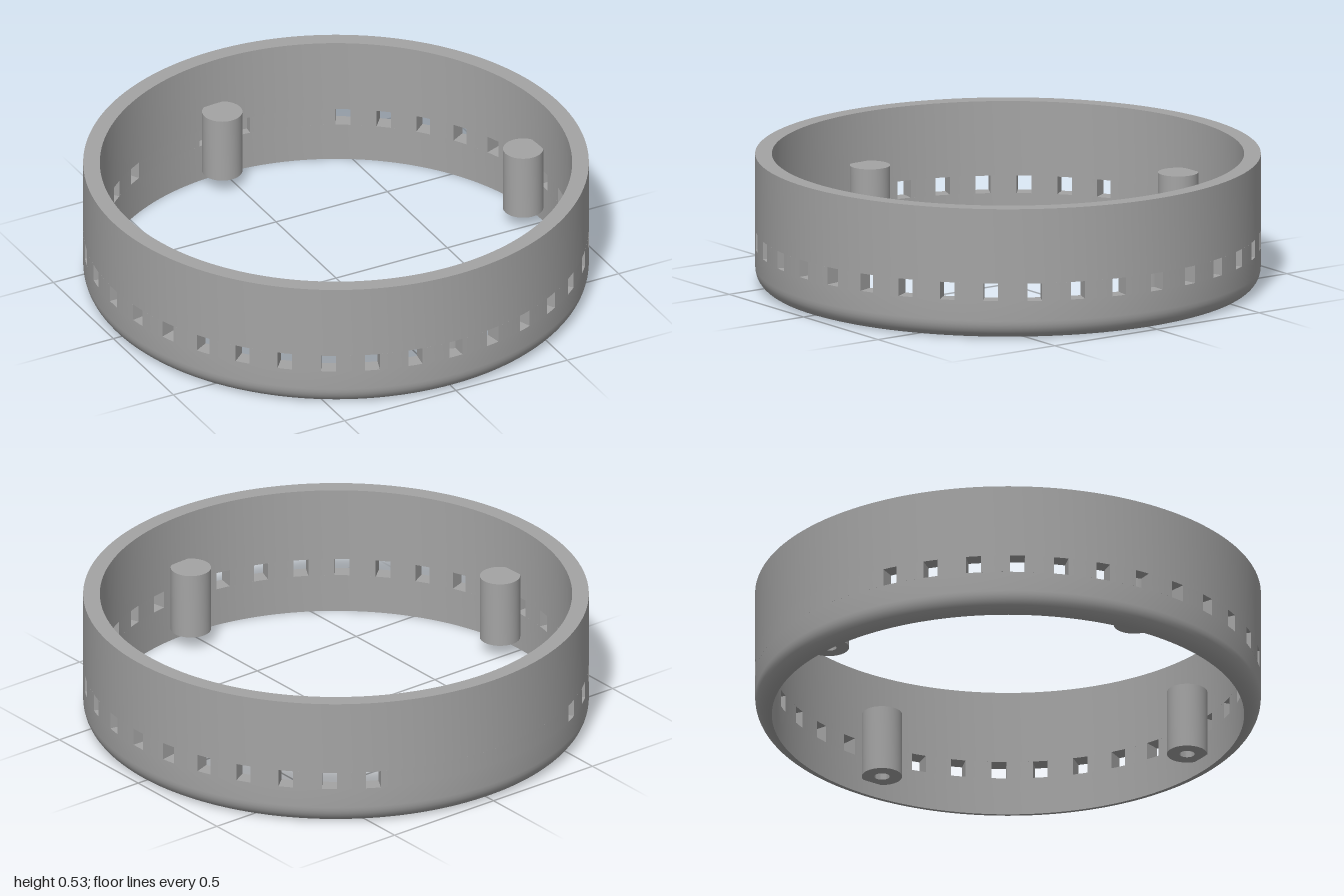
import * as THREE from 'three';
import { toCreasedNormals } from 'three/addons/utils/BufferGeometryUtils.js';

const OUTER = 1, INNER = 0.934, HEIGHT = 0.53;
const SILL = 0.157, LINTEL = 0.228, HALF_WINDOW = 0.0295;
const rad = THREE.MathUtils.degToRad;

export function createModel() {
  const group = new THREE.Group();
  const grey = new THREE.MeshStandardMaterial({ color: 0xa4a4a4 });
  grey.name = 'plain grey';

  const add = (name, geometry, parent = group) => {
    const mesh = new THREE.Mesh(toCreasedNormals(geometry, rad(30)), grey);
    mesh.name = name;
    parent.add(mesh);
    return mesh;
  };
  const lathe = (points, segments) =>
    new THREE.LatheGeometry(points.map(([r, y]) => new THREE.Vector2(r, y)), segments);

  // Lower wall with a rounded outer bottom edge
  const lower = [[INNER, 0]];
  for (let i = 1; i <= 8; i++) {
    const a = (i / 8) * Math.PI / 2;
    lower.push([INNER + (OUTER - INNER) * Math.sin(a), 0.075 * (1 - Math.cos(a))]);
  }
  lower.push([OUTER, SILL], [INNER, SILL], [INNER, 0]);
  add('lowerWall', lathe(lower, 180));

  // Upper wall
  add('upperWall', lathe([[INNER, LINTEL], [OUTER, LINTEL], [OUTER, HEIGHT],
    [INNER, HEIGHT], [INNER, LINTEL]], 180));

  // Wall pieces between the windows; a0 and a1 are degrees from +x towards -z
  const band = new THREE.Group();
  band.name = 'windowBand';
  group.add(band);
  const piece = (a0, a1, inset0, inset1, inner = INNER) => {
    const start = r => rad(a0) + Math.asin(inset0 / r);
    const end = r => rad(a1) - Math.asin(inset1 / r);
    const shape = new THREE.Shape();
    shape.absarc(0, 0, OUTER, start(OUTER), end(OUTER), false);
    shape.absarc(0, 0, inner, end(inner), start(inner), true);
    shape.closePath();
    const geometry = new THREE.ExtrudeGeometry(shape, {
      depth: LINTEL - SILL, bevelEnabled: false,
      curveSegments: Math.max(4, Math.ceil((a1 - a0) / 2)),
    });
    geometry.rotateX(-Math.PI / 2).translate(0, SILL, 0);
    add('wallPiece', geometry, band);
  };
  for (let a = 120; a < 420; a += 10) piece(a, a + 10, HALF_WINDOW, HALF_WINDOW);

  // Closed stretch at the back, with a shallow pocket on the inside
  piece(60, 83, HALF_WINDOW, 0);
  piece(83, 97, 0, 0, 0.97);
  piece(97, 120, 0, HALF_WINDOW);

  // Four screw posts with blind holes underneath
  const post = lathe([[0, 0.26], [0.03, 0.26], [0.03, 0.06], [0.08, 0.06],
    [0.08, 0.33], [0, 0.33]], 40);
  for (let i = 0; i < 4; i++) {
    const a = i * Math.PI / 2 + Math.atan2(0.045, 0.865);
    const r = Math.hypot(0.045, 0.865);
    add('screwPost', post).position.set(r * Math.cos(a), 0, -r * Math.sin(a));
  }
  return group;
}
